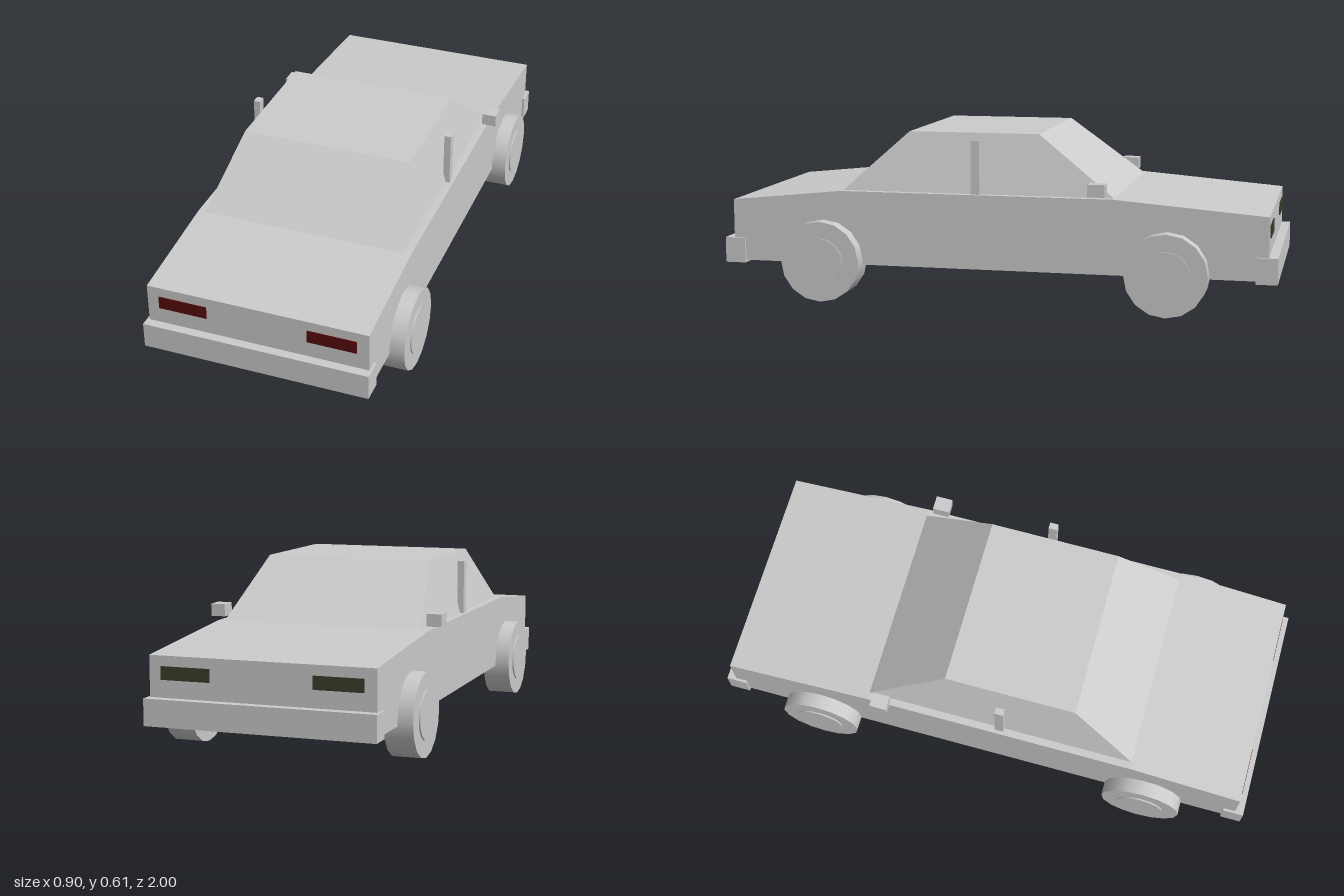
import * as THREE from 'three';

const paint = new THREE.MeshStandardMaterial({ color: 0xcccccc });
paint.name = 'light grey';
const red = new THREE.MeshStandardMaterial({ color: 0x570a0a });
red.name = 'dark red';
const olive = new THREE.MeshStandardMaterial({ color: 0x3b3b2c });
olive.name = 'dark olive';

export function createModel() {
  const car = new THREE.Group();
  car.name = 'car';

  const add = (name, geometry, material, x = 0, y = 0, z = 0) => {
    const mesh = new THREE.Mesh(geometry, material);
    mesh.name = name;
    mesh.position.set(x, y, z);
    car.add(mesh);
    return mesh;
  };
  // Box given by its limits on each axis
  const box = (name, material, [x0, x1], [y0, y1], [z0, z1]) =>
    add(name, new THREE.BoxGeometry(x1 - x0, y1 - y0, z1 - z0), material,
      (x0 + x1) / 2, (y0 + y1) / 2, (z0 + z1) / 2);

  // Lower body: side profile (z, y) extruded across the width
  const width = 0.788;
  const profile = new THREE.Shape([
    [-0.968, 0.132], [0.968, 0.132], [0.968, 0.355], [0.558, 0.398], [-0.432, 0.398], [-0.968, 0.355],
  ].map(([z, y]) => new THREE.Vector2(z, y)));
  const body = new THREE.ExtrudeGeometry(profile, { depth: width, bevelEnabled: false });
  body.translate(0, 0, -width / 2).rotateY(-Math.PI / 2);
  add('body', body, paint);

  // Cabin: a box narrowed towards the roof
  const cabin = new THREE.BoxGeometry(1, 1, 1);
  const p = cabin.attributes.position;
  for (let i = 0; i < p.count; i++) {
    const top = p.getY(i) > 0;
    const x = Math.sign(p.getX(i)) * (top ? 0.309 : 0.368);
    const z = p.getZ(i) > 0 ? (top ? 0.323 : 0.558) : (top ? -0.152 : -0.432);
    p.setXYZ(i, x, top ? 0.61 : 0.397, z);
  }
  cabin.computeVertexNormals();
  add('cabin', cabin, paint);

  // Bumpers and lamps at both ends
  for (const end of [1, -1]) {
    const span = (a, b) => (end > 0 ? [a, b] : [-b, -a]);
    box(end > 0 ? 'tailBumper' : 'noseBumper', paint, [-0.403, 0.403], [0.123, 0.215], span(0.925, 1));
    for (const side of [1, -1]) {
      box(end > 0 ? 'tailLight' : 'headlight', end > 0 ? red : olive,
        side > 0 ? [0.179, 0.352] : [-0.352, -0.179], [0.275, 0.32], span(0.963, 0.972));
    }
  }

  // Door pillars, mirrors and wheels on both sides
  for (const side of [1, -1]) {
    const span = (a, b) => (side > 0 ? [a, b] : [-b, -a]);
    box('doorPillar', paint, span(0.357, 0.381), [0.39, 0.59], [0.048, 0.08]);
    box('wingMirror', paint, span(0.379, 0.432), [0.409, 0.453], [-0.407, -0.346]);
    for (const z of [0.624, -0.622]) {
      const tyre = new THREE.CylinderGeometry(0.146, 0.146, 0.102, 16).rotateZ(Math.PI / 2);
      add('wheel', tyre, paint, side * 0.396, 0.146, z);
      const hub = new THREE.CylinderGeometry(0.086, 0.086, 0.02, 16).rotateZ(Math.PI / 2);
      add('hubcap', hub, paint, side * 0.442, 0.146, z);
    }
  }
  return car;
}
